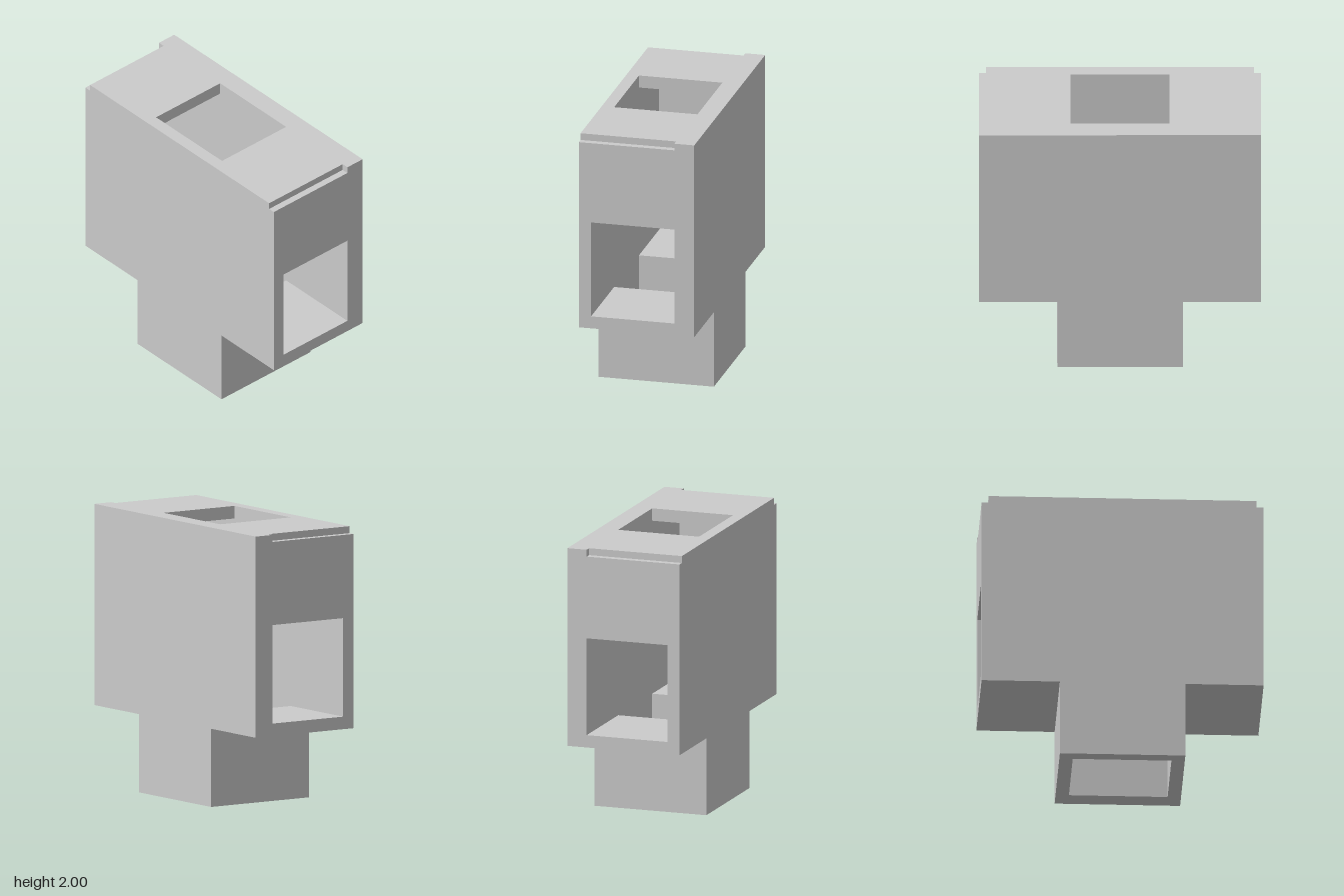
import * as THREE from 'three';

const material = new THREE.MeshStandardMaterial({ color: 0xcccccc, flatShading: true });

// Depth layers: back plate, hollow middle, front plate
const Z_BACK = -0.425, Z_CAVITY_BACK = -0.28, Z_CAVITY_FRONT = 0.33, Z_FRONT = 0.42;

const mirror = (points) => points.map(([x, y]) => [-x, y]).reverse();

// Extrudes an outline in the xy plane between two depths
function slab(name, points, z0, z1) {
  const shape = new THREE.Shape(points.map(([x, y]) => new THREE.Vector2(x, y)));
  const geometry = new THREE.ExtrudeGeometry(shape, { depth: z1 - z0, bevelEnabled: false });
  geometry.translate(0, 0, z0);
  const mesh = new THREE.Mesh(geometry, material);
  mesh.name = name;
  return mesh;
}

export function createModel() {
  const group = new THREE.Group();
  group.name = 'hollowJunctionBox';

  // Right halves of the T-shaped outlines, bottom to top
  const lower = [[0.445, 0], [0.445, 0.56], [1, 0.56]];
  const plainHalf = [...lower, [1, 2]];
  const notchedHalf = [...lower, [1, 1.95], [0.95, 1.95], [0.95, 2]];

  group.add(slab('backPlate', [...plainHalf, ...mirror(plainHalf)], Z_BACK, Z_CAVITY_BACK));
  group.add(slab('frontPlate', [...notchedHalf, ...mirror(notchedHalf)], Z_CAVITY_FRONT, Z_FRONT));

  // Roof and upper side wall, with a rabbet along the outer top edge
  const upperWall = [
    [0.35, 1.91], [0.91, 1.91], [0.91, 1.355], [1, 1.355],
    [1, 1.95], [0.95, 1.95], [0.95, 2], [0.35, 2],
  ];
  // Neck wall and floor, below the side window
  const lowerWall = [
    [0.35, 0], [0.445, 0], [0.445, 0.56], [1, 0.56], [1, 0.65], [0.35, 0.65],
  ];
  for (const [side, place] of [['left', (p) => p], ['right', mirror]]) {
    group.add(slab(side + 'UpperWall', place(upperWall), Z_CAVITY_BACK, Z_CAVITY_FRONT));
    group.add(slab(side + 'LowerWall', place(lowerWall), Z_CAVITY_BACK, Z_CAVITY_FRONT));
  }
  return group;
}
